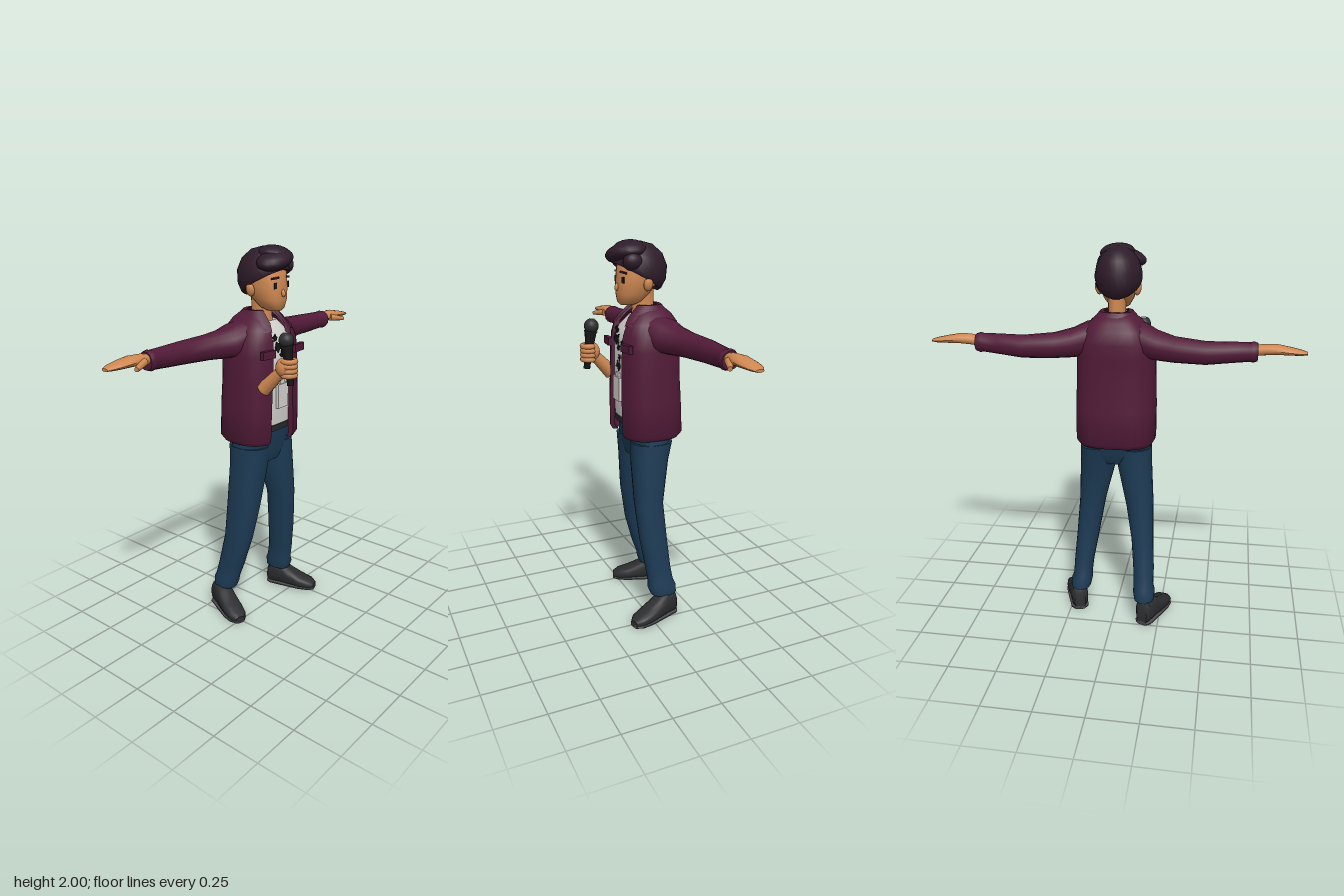
import * as THREE from 'three';
import { toCreasedNormals } from 'three/addons/utils/BufferGeometryUtils.js';

const material = (name, color) => Object.assign(new THREE.MeshStandardMaterial({ color }), { name });
const V = (x, y, z) => new THREE.Vector3(x, y, z);

// Closed skin through rings of equal point count; caps are strips, so C-shaped rings work too.
function loft(rings) {
  const m = rings[0].length, tris = [];
  const quad = (a, b, c, d) => tris.push(a, b, c, a, c, d);
  for (let r = 0; r < rings.length - 1; r++) {
    const p = rings[r], q = rings[r + 1];
    for (let i = 0; i < m; i++) quad(p[i], p[(i + 1) % m], q[(i + 1) % m], q[i]);
  }
  const f = rings[0], l = rings[rings.length - 1];
  for (let i = 0; i < m / 2 - 1; i++) {
    quad(f[i + 1], f[i], f[m - 1 - i], f[m - 2 - i]);
    quad(l[i], l[i + 1], l[m - 2 - i], l[m - 1 - i]);
  }
  let volume = 0;
  for (let i = 0; i < tris.length; i += 3) volume += tris[i].dot(V().crossVectors(tris[i + 1], tris[i + 2]));
  if (volume < 0) tris.reverse();
  const g = new THREE.BufferGeometry().setFromPoints(tris);
  return toCreasedNormals(g, 0.75);
}

// Superellipse point: power 2 is an ellipse, higher is boxier.
function oval(t, a, b, n) {
  const c = Math.cos(t), s = Math.sin(t), e = 2 / n;
  return [a * Math.sign(c) * Math.abs(c) ** e, b * Math.sign(s) * Math.abs(s) ** e];
}
const ring = (count, fn) => Array.from({ length: count }, (_, i) => fn(((i + 0.5) / count) * Math.PI * 2));

// Upright sections: [y, xMin, xMax, zFront, zBack]
const upright = (sections, n = 2.3, count = 20) => loft(sections.map(([y, x0, x1, zf, zb]) =>
  ring(count, (t) => {
    const [x, z] = oval(t, (x1 - x0) / 2, (zf - zb) / 2, n);
    return V((x0 + x1) / 2 + x, y, (zf + zb) / 2 + z);
  })));

// Sideways sections: [x, yCentre, zCentre, yRadius, zRadius]
const sideways = (sections, s, n = 2.2, count = 14) => loft(sections.map(([x, cy, cz, ry, rz]) =>
  ring(count, (t) => {
    const [y, z] = oval(t, ry, rz, n);
    return V(s * x, cy + y, cz + z);
  })));

export function createModel() {
  const model = new THREE.Group();
  const jacket = material('maroon jacket', 0x521b38);
  const hair = material('dark plum hair', 0x2e1c2a);
  const skin = material('skin', 0xcf8852);
  const denim = material('blue denim', 0x1d3b55);
  const shoe = material('charcoal shoe', 0x2c2d2f);
  const sole = material('grey sole', 0x47484a);
  const cloth = material('off-white cloth', 0xd6d4d0);
  const black = material('black', 0x161617);

  const add = (name, geometry, mat, parent = model) => {
    const mesh = new THREE.Mesh(geometry, mat);
    mesh.name = name;
    parent.add(mesh);
    return mesh;
  };
  const blob = (name, mat, p, r, rot = [0, 0, 0]) => {
    const mesh = add(name, new THREE.SphereGeometry(1, 16, 12), mat);
    mesh.position.set(...p);
    mesh.scale.set(...r);
    mesh.rotation.set(...rot);
  };
  const box = (name, mat, p, size, rot = [0, 0, 0]) => {
    const mesh = add(name, new THREE.BoxGeometry(...size), mat);
    mesh.position.set(...p);
    mesh.rotation.set(...rot);
  };
  // Tapered bar between two points
  const bar = (name, mat, a, b, ra, rb) => {
    const p = V(...a), q = V(...b), d = q.clone().sub(p);
    const mesh = add(name, new THREE.CylinderGeometry(rb, ra, d.length(), 12), mat);
    mesh.position.copy(p).add(q).multiplyScalar(0.5);
    mesh.quaternion.setFromUnitVectors(V(0, 1, 0), d.normalize());
  };

  // Trousers: hips and two stepping legs
  add('hips', upright([[0.89, -0.13, 0.13, 0.035, -0.13], [0.95, -0.185, 0.19, 0.052, -0.16],
    [1.07, -0.175, 0.175, 0.06, -0.17]], 2.6), denim);
  add('leftLeg', upright([[0.98, 0.0, 0.19, 0.055, -0.165], [0.88, 0.004, 0.195, 0.055, -0.14],
    [0.65, 0.065, 0.207, 0.053, -0.1], [0.45, 0.1, 0.222, 0.035, -0.115], [0.28, 0.13, 0.236, 0.01, -0.13],
    [0.2, 0.138, 0.24, -0.003, -0.145], [0.17, 0.136, 0.252, 0.0, -0.158], [0.13, 0.145, 0.25, -0.015, -0.16]]), denim);
  add('rightLeg', upright([[0.98, -0.185, 0.0, 0.055, -0.165], [0.88, -0.187, -0.004, 0.045, -0.16],
    [0.65, -0.2, -0.055, 0.025, -0.165], [0.45, -0.206, -0.088, -0.01, -0.175], [0.28, -0.215, -0.105, -0.06, -0.21],
    [0.2, -0.216, -0.11, -0.09, -0.232], [0.17, -0.226, -0.108, -0.095, -0.243], [0.13, -0.222, -0.115, -0.11, -0.245]]), denim);

  // Shoes, lofted heel to toe: [z, half width, height]
  const shoeShape = [[-0.005, 0.03, 0.1], [0.015, 0.046, 0.14], [0.08, 0.05, 0.145], [0.13, 0.053, 0.11],
    [0.2, 0.056, 0.075], [0.255, 0.048, 0.058], [0.285, 0.025, 0.04]];
  const shoeLoft = (wide, low, high) => loft(shoeShape.map(([z, w, h]) => ring(16, (t) => {
    const [x, y] = oval(t, w + wide, 0.5, 2.6);
    return V(x, low + (y + 0.5) * (high ?? h - low), z);
  })));
  for (const [side, x, z, turn] of [['left', 0.195, -0.15, 0.3], ['right', -0.167, -0.245, -0.38]]) {
    const foot = new THREE.Group();
    foot.name = side + 'Shoe';
    foot.position.set(x, 0, z);
    foot.rotation.y = turn;
    add('upper', shoeLoft(0, 0.006), shoe, foot);
    add('sole', shoeLoft(0.002, 0, 0.022), sole, foot);
    model.add(foot);
  }

  // Shirt and belt
  add('shirt', upright([[1.09, -0.165, 0.165, 0.075, -0.18], [1.2, -0.165, 0.165, 0.085, -0.18],
    [1.5, -0.16, 0.16, 0.085, -0.18], [1.57, -0.13, 0.13, 0.066, -0.17], [1.63, -0.075, 0.075, 0.015, -0.13]], 3), cloth);
  add('belt', upright([[1.065, -0.172, 0.172, 0.075, -0.18], [1.1, -0.172, 0.172, 0.082, -0.18]], 3), shoe);

  // Open jacket shell: [y, half width, zFront, zBack, right gap, left gap]
  const shell = (sections, n, thick) => loft(sections.map(([y, rx, zf, zb, gr, gl]) => {
    const cz = (zf + zb) / 2, rz = (zf - zb) / 2, steps = 32;
    const start = Math.acos((gl / rx) ** (n / 2)), end = Math.PI - Math.acos((gr / rx) ** (n / 2));
    const arc = (inset) => Array.from({ length: steps }, (_, i) => {
      const t = start - (i / (steps - 1)) * (Math.PI * 2 - (end - start));
      const [x, z] = oval(t, rx - inset, rz - inset, n);
      return V(x, y, cz + z);
    });
    return [...arc(0), ...arc(thick).reverse()];
  }));
  add('jacketBody', shell([[1.005, 0.19, 0.09, -0.215, 0.1, 0.08], [1.03, 0.205, 0.105, -0.235, 0.1, 0.08],
    [1.2, 0.205, 0.105, -0.226, 0.095, 0.073], [1.35, 0.2, 0.102, -0.215, 0.085, 0.068],
    [1.47, 0.197, 0.1, -0.217, 0.08, 0.068], [1.54, 0.19, 0.095, -0.222, 0.077, 0.07],
    [1.6, 0.16, 0.08, -0.208, 0.075, 0.075], [1.64, 0.125, 0.045, -0.182, 0.07, 0.07],
    [1.675, 0.085, 0.0, -0.14, 0.055, 0.055]], 2.8, 0.025), jacket);
  add('collar', shell([[1.59, 0.155, 0.098, -0.2, 0.078, 0.078], [1.63, 0.125, 0.07, -0.18, 0.062, 0.062],
    [1.685, 0.082, 0.015, -0.138, 0.05, 0.05]], 2.4, 0.02), jacket);
  for (const s of [-1, 1]) {
    const side = s > 0 ? 'left' : 'right';
    box(side + 'PocketFlap', jacket, [s * 0.122, 1.485, 0.094], [0.085, 0.04, 0.022], [0, s * 0.12, 0]);
    add(side + 'Sleeve', sideways([[0.08, 1.56, -0.075, 0.085, 0.1], [0.15, 1.545, -0.09, 0.085, 0.105],
      [0.21, 1.53, -0.115, 0.073, 0.09], [0.3, 1.52, -0.152, 0.063, 0.065], [0.45, 1.515, -0.178, 0.056, 0.057],
      [0.58, 1.52, -0.163, 0.05, 0.05], [0.66, 1.523, -0.156, 0.046, 0.046], [0.675, 1.523, -0.155, 0.05, 0.05],
      [0.695, 1.523, -0.155, 0.043, 0.043]], s), jacket);

    // Flat outstretched hand
    add(side + 'Hand', sideways([[0.67, 1.53, -0.155, 0.026, 0.032], [0.73, 1.537, -0.155, 0.026, 0.036],
      [0.78, 1.54, -0.155, 0.024, 0.047], [0.84, 1.535, -0.158, 0.018, 0.046], [0.89, 1.53, -0.16, 0.013, 0.038],
      [0.925, 1.526, -0.158, 0.007, 0.02]], s), skin);
    bar(side + 'Thumb', skin, [s * 0.73, 1.53, -0.125], [s * 0.81, 1.517, -0.085], 0.02, 0.011);

    // Face details
    blob(side + 'Ear', skin, [s * 0.098 - 0.004, 1.79, -0.035], [0.017, 0.034, 0.024], [0, 0, -s * 0.2]);
    box(side + 'Eye', black, [s * 0.05, 1.812, 0.081], [0.013, 0.03, 0.007], [0, s * 0.4, 0]);
    box(side + 'Brow', hair, [s * 0.05, 1.848, 0.08], [0.042, 0.009, 0.008], [0, s * 0.4, -s * 0.12]);
  }

  // Neck and head
  add('neck', upright([[1.58, -0.055, 0.055, 0.025, -0.11], [1.66, -0.043, 0.043, 0.01, -0.105],
    [1.76, -0.045, 0.045, 0.02, -0.105]], 2), skin);
  add('head', upright([[1.685, -0.034, 0.028, 0.072, 0.0], [1.7, -0.056, 0.05, 0.086, -0.035],
    [1.74, -0.079, 0.074, 0.092, -0.075], [1.8, -0.092, 0.088, 0.092, -0.12],
    [1.87, -0.093, 0.09, 0.086, -0.14], [1.94, -0.08, 0.078, 0.055, -0.11]], 2.4), skin);
  blob('nose', skin, [-0.003, 1.775, 0.092], [0.011, 0.02, 0.012], [-0.25, 0, 0]);

  // Hair cap with a hairline dropping from brow to nape, closed on the inside
  const capRow = (k, size) => ring(28, (t) => {
    const phi = k * THREE.MathUtils.degToRad(106 - 32 * Math.cos(t));
    return V(-0.005 + 0.117 * size * Math.sin(phi) * Math.sin(t), 1.85 + 0.143 * size * Math.cos(phi),
      -0.03 + 0.145 * size * Math.sin(phi) * Math.cos(t));
  });
  add('hairCap', loft([...[0.02, 0.2, 0.4, 0.6, 0.8, 0.95].map((k) => capRow(k, 1)), capRow(1, 0.96), capRow(0.97, 0.75)]), hair);
  blob('quiff', hair, [-0.025, 1.933, 0.058], [0.11, 0.046, 0.077], [0.1, 0, 0.22]);
  blob('crownLock', hair, [0.01, 1.955, 0.03], [0.088, 0.045, 0.085], [0.1, 0, -0.1]);
  blob('sideLock', hair, [0.073, 1.9, 0.04], [0.04, 0.045, 0.05], [0, 0, -0.3]);

  // Shirt print: thin irregular patches [x, y, size, turn]
  const patch = new THREE.Shape([[-0.5, -0.1], [-0.1, -0.5], [0.1, -0.2], [0.5, -0.3], [0.3, 0.1], [0.5, 0.5],
    [0, 0.25], [-0.35, 0.45]].map(([x, y]) => new THREE.Vector2(x, y)));
  for (const [x, y, size, turn] of [[-0.025, 1.51, 0.06, 0], [0.0, 1.47, 0.035, 1], [-0.045, 1.555, 0.035, 2],
    [-0.005, 1.375, 0.05, 2.6], [0.045, 1.5, 0.022, 0.5], [0.01, 1.42, 0.03, 4]]) {
    const mesh = add('shirtPrint', new THREE.ExtrudeGeometry(patch, { depth: 0.006, bevelEnabled: false }), black);
    mesh.scale.set(size, size, 1);
    mesh.position.set(x, y, y > 1.53 ? 0.072 : 0.083);
    mesh.rotation.z = turn;
  }
  // Hanging badge
  box('badge', cloth, [-0.005, 1.255, 0.092], [0.082, 0.125, 0.016]);
  box('badgeClip', cloth, [-0.005, 1.325, 0.09], [0.035, 0.03, 0.012]);

  // Extra forearm and fist holding the microphone
  bar('micForearm', skin, [-0.135, 1.31, 0.075], [-0.12, 1.42, 0.18], 0.038, 0.028);
  blob('micPalm', skin, [-0.118, 1.435, 0.19], [0.04, 0.05, 0.044]);
  for (let i = 0; i < 4; i++) {
    const finger = add('micFinger', new THREE.TorusGeometry(0.032, 0.014, 8, 14, Math.PI * 1.3), skin);
    finger.position.set(-0.105, 1.4 + i * 0.023, 0.21);
    finger.rotation.set(Math.PI / 2, 0, -0.5);
  }
  const mic = new THREE.Group();
  mic.name = 'microphone';
  mic.position.set(-0.105, 1.35, 0.222);
  mic.rotation.x = -0.13;
  add('micHandle', new THREE.LatheGeometry([[0, 0], [0.017, 0], [0.02, 0.1], [0.03, 0.185], [0.036, 0.195], [0, 0.2]]
    .map(([x, y]) => new THREE.Vector2(x, y)), 16), black, mic);
  const grille = add('micGrille', new THREE.SphereGeometry(0.038, 16, 12), shoe, mic);
  const shine = add('micTip', new THREE.SphereGeometry(0.0395, 14, 4, 0, Math.PI * 2, 0, 0.38), cloth, mic);
  grille.position.y = shine.position.y = 0.222;
  model.add(mic);

  return model;
}
